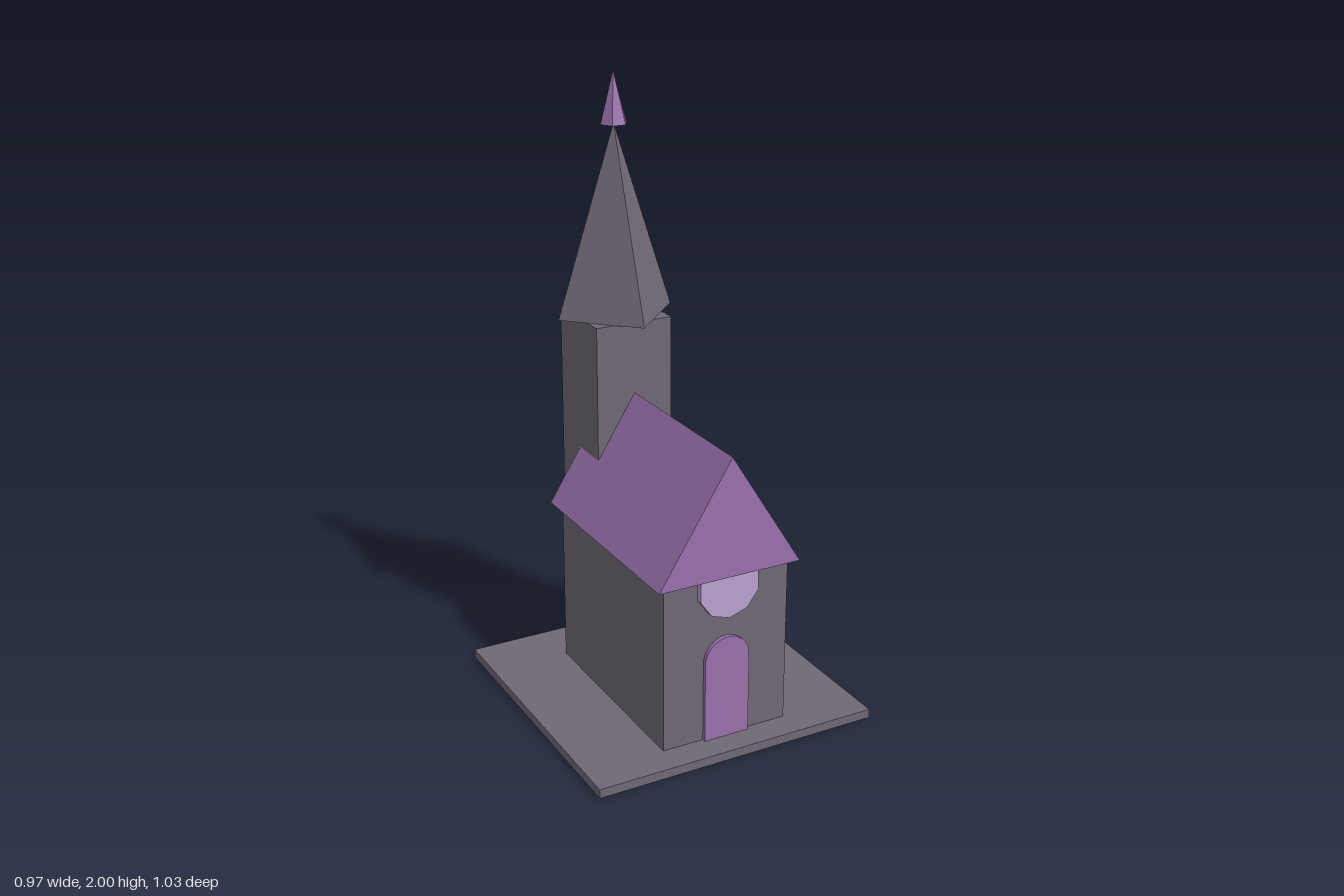
import * as THREE from 'three';

const material = (name, color) => {
  const m = new THREE.MeshStandardMaterial({ color, flatShading: true });
  m.name = name;
  return m;
};

export function createModel() {
  const model = new THREE.Group();
  model.name = 'chapel';
  const stone = material('grey stone', 0x6f6974);
  const purple = material('purple', 0x9b71ae);
  const glass = material('pale lavender glass', 0xbca3d2);

  const add = (name, geometry, mat, x = 0, y = 0, z = 0) => {
    const mesh = new THREE.Mesh(geometry, mat);
    mesh.name = name;
    mesh.position.set(x, y, z);
    model.add(mesh);
    return mesh;
  };
  // Box given by its width and its y and z ranges
  const block = (name, w, y0, y1, z0, z1, mat) =>
    add(name, new THREE.BoxGeometry(w, y1 - y0, z1 - z0), mat, 0, (y0 + y1) / 2, (z0 + z1) / 2);
  const extrude = (shape, depth) =>
    new THREE.ExtrudeGeometry(shape, { depth, bevelEnabled: false, curveSegments: 10 });

  // Ground slab, nave and tower
  block('baseSlab', 0.97, 0, 0.03, -0.455, 0.515, stone);
  block('nave', 0.436, 0.03, 0.59, -0.285, 0.418, stone);
  block('tower', 0.268, 0.03, 1.216, -0.449, -0.182, stone);

  // Gabled roof, a closed triangular prism
  const gable = new THREE.Shape([
    new THREE.Vector2(-0.246, 0.587),
    new THREE.Vector2(0.246, 0.587),
    new THREE.Vector2(0, 0.978),
  ]);
  add('roof', extrude(gable, 0.762), purple, 0, 0, -0.318);

  // Four-sided spire, turned diagonally over the tower, with a six-sided finial
  const towerZ = -0.316;
  add('spire', new THREE.ConeGeometry(0.204, 0.62, 4), stone, 0, 1.526, towerZ);
  const finial = add('finial', new THREE.ConeGeometry(0.046, 0.168, 6), purple, 0, 1.916, towerZ);
  finial.rotation.y = Math.PI / 6;

  // Arched door
  const arch = new THREE.Shape();
  arch.moveTo(-0.078, 0.03);
  arch.lineTo(0.078, 0.03);
  arch.lineTo(0.078, 0.3);
  arch.absarc(0, 0.3, 0.078, 0, Math.PI, false);
  arch.closePath();
  add('door', extrude(arch, 0.014), purple, 0, 0, 0.417);

  // Round window tucked under the gable
  const rose = add('roundWindow', new THREE.CylinderGeometry(0.106, 0.106, 0.022, 10), glass, 0, 0.553, 0.428);
  rose.rotation.x = Math.PI / 2;

  return model;
}
